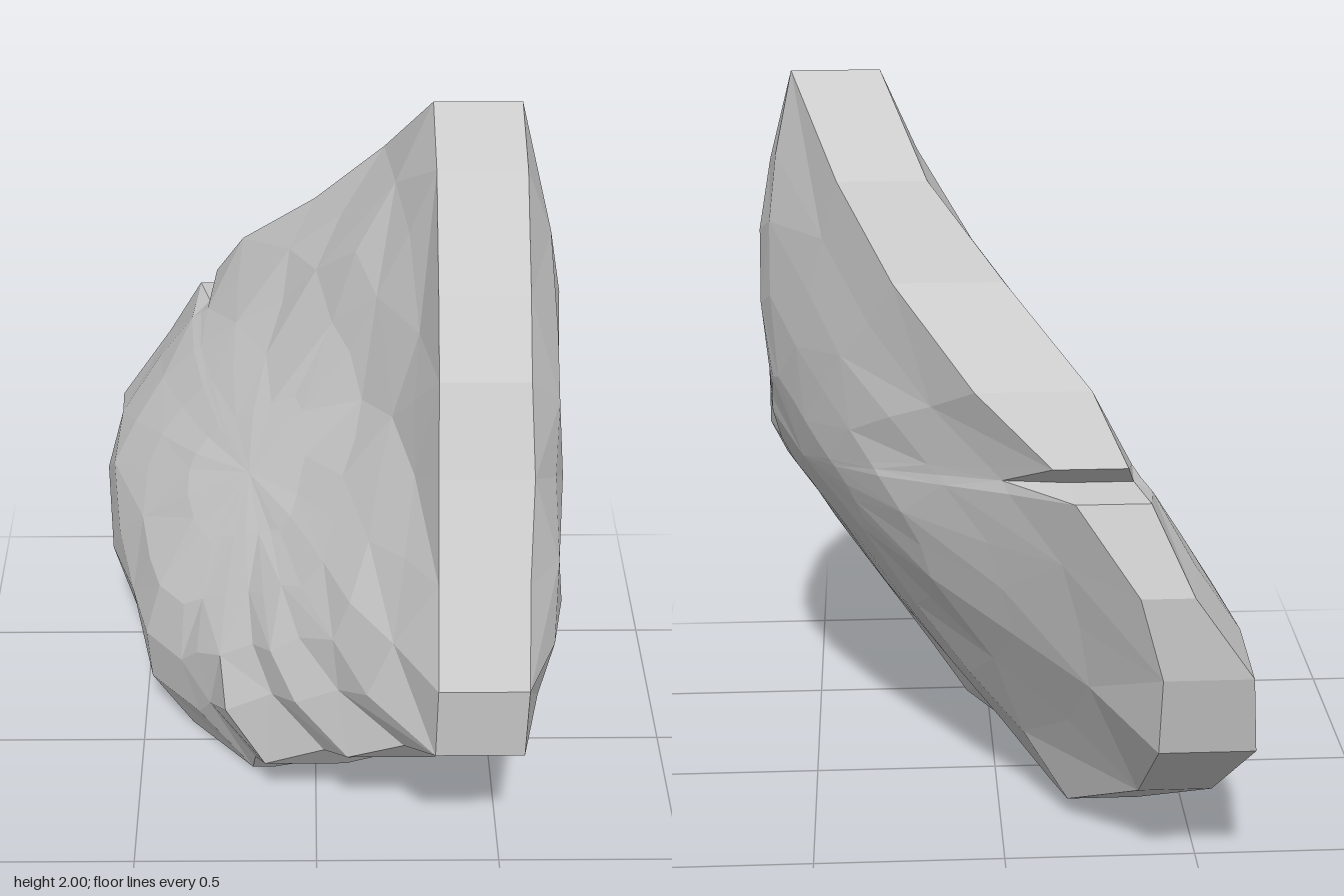
import * as THREE from 'three';

// Rim of the leaning slab, counterclockwise seen from +x: [z, y, low x edge, high x edge]
const RIM = [
  [-0.08, 2.00, 0.29, 0.51], [0.13, 1.92, 0.29, 0.51], [0.35, 1.70, 0.29, 0.51],
  [0.48, 1.54, 0.29, 0.51], [0.58, 1.33, 0.29, 0.52], [0.71, 1.11, 0.29, 0.51],
  [0.84, 0.89, 0.29, 0.51], [0.82, 0.67, 0.29, 0.51], [0.67, 0.57, 0.22, 0.44],
  [0.58, 0.45, 0.08, 0.30], [0.45, 0.36, 0.02, 0.24], [0.36, 0.23, -0.14, 0.08],
  [0.22, 0.13, -0.17, 0.07], [0.13, 0.01, -0.18, -0.12], [-0.08, 0.00, -0.36, -0.15],
  [-0.30, 0.06, -0.37, -0.18], [-0.55, 0.22, -0.53, -0.34], [-0.78, 0.45, -0.60, -0.36],
  [-0.83, 0.67, -0.58, -0.36], [-0.84, 0.89, -0.43, -0.30], [-0.76, 1.10, -0.33, -0.15],
  [-0.64, 1.11, -0.30, -0.14], // apex of the small cleft
  [-0.71, 1.17, -0.28, -0.10], [-0.61, 1.33, -0.20, 0.08], [-0.43, 1.55, 0.00, 0.27],
  [-0.30, 1.77, 0.18, 0.40],
];
const CLEFT = 21;
const CENTRE = { y: 0.95, z: 0 };
const EDGE = 0.11; // half thickness at the rim
const FLAT = 0.61; // the +x face is worn flat here

// Middle plane of the slab: leans towards +x with height and with z
const middle = (y, z) => 0.33 * (y - 0.8) + 0.5 * z;

// The +x face is fullest in the middle, thinner low down and at the back
const bulgeHigh = (y, z) =>
  0.36 - 0.15 * Math.max(0, 1 - y) - 0.4 * Math.max(0, -z - 0.35);

// The -x face is fullest low down at the back and nearly flat above
const bulgeLow = (y, z) =>
  THREE.MathUtils.clamp(0.3 - 0.27 * (y - 0.35), 0.05, 0.28) - 0.2 * THREE.MathUtils.clamp(z + 0.1, 0, 0.25);

function seeded(seed) {
  return () => {
    seed = (seed * 16807) % 2147483647;
    return seed / 2147483647 - 0.5;
  };
}

// One ring of a face (side +1 or -1), t = 0 centre to 1 rim
function ring(side, t, rnd) {
  return RIM.map(([rz, ry, low, high], i) => {
    // The cleft cuts only the rim
    if (i === CLEFT && t < 1) [rz, ry] = [-0.735, 1.135];
    const rough = t < 1 && Math.abs(i - CLEFT) > 1 ? 0.028 * t : 0;
    const y = CENTRE.y + t * (ry - CENTRE.y) + rnd() * rough;
    const z = CENTRE.z + t * (rz - CENTRE.z) + rnd() * rough;
    const dome = side > 0 ? bulgeHigh(y, z) * (1 - t ** 2) : bulgeLow(y, z) * (1 - t ** 3.5);
    const offset = (side > 0 ? high : low) - side * EDGE - middle(ry, rz);
    const x = middle(y, z) + offset * t ** 3 + side * (EDGE + dome);
    return [Math.min(x, FLAT) + rnd() * rough, y, z];
  });
}

export function createModel() {
  const rnd = seeded(71);
  const steps = [0, 0.22, 0.43, 0.62, 0.8, 1];
  const rings = [
    ...steps.map((t) => ring(1, t, rnd)),
    ...steps.slice().reverse().map((t) => ring(-1, t, rnd)),
  ];

  // Skin the rings from one face, over the rim, to the other face
  const n = RIM.length;
  const index = [];
  for (let r = 0; r < rings.length - 1; r++) {
    for (let i = 0; i < n; i++) {
      const j = (i + 1) % n;
      const a = r * n + i, b = (r + 1) * n + i, c = (r + 1) * n + j, d = r * n + j;
      if (r === 0) index.push(a, b, c);
      else if (r === rings.length - 2) index.push(a, b, d);
      else if ((r + i) % 2) index.push(a, b, c, a, c, d);
      else index.push(a, b, d, b, c, d);
    }
  }
  const geometry = new THREE.BufferGeometry();
  geometry.setAttribute('position', new THREE.Float32BufferAttribute(rings.flat(2), 3));
  geometry.setIndex(index);
  geometry.computeVertexNormals();

  const rock = new THREE.Mesh(
    geometry,
    new THREE.MeshStandardMaterial({ color: 0xcccccc, flatShading: true }),
  );
  rock.name = 'rockSlab';
  const group = new THREE.Group();
  group.name = 'rock';
  group.add(rock);
  return group;
}
